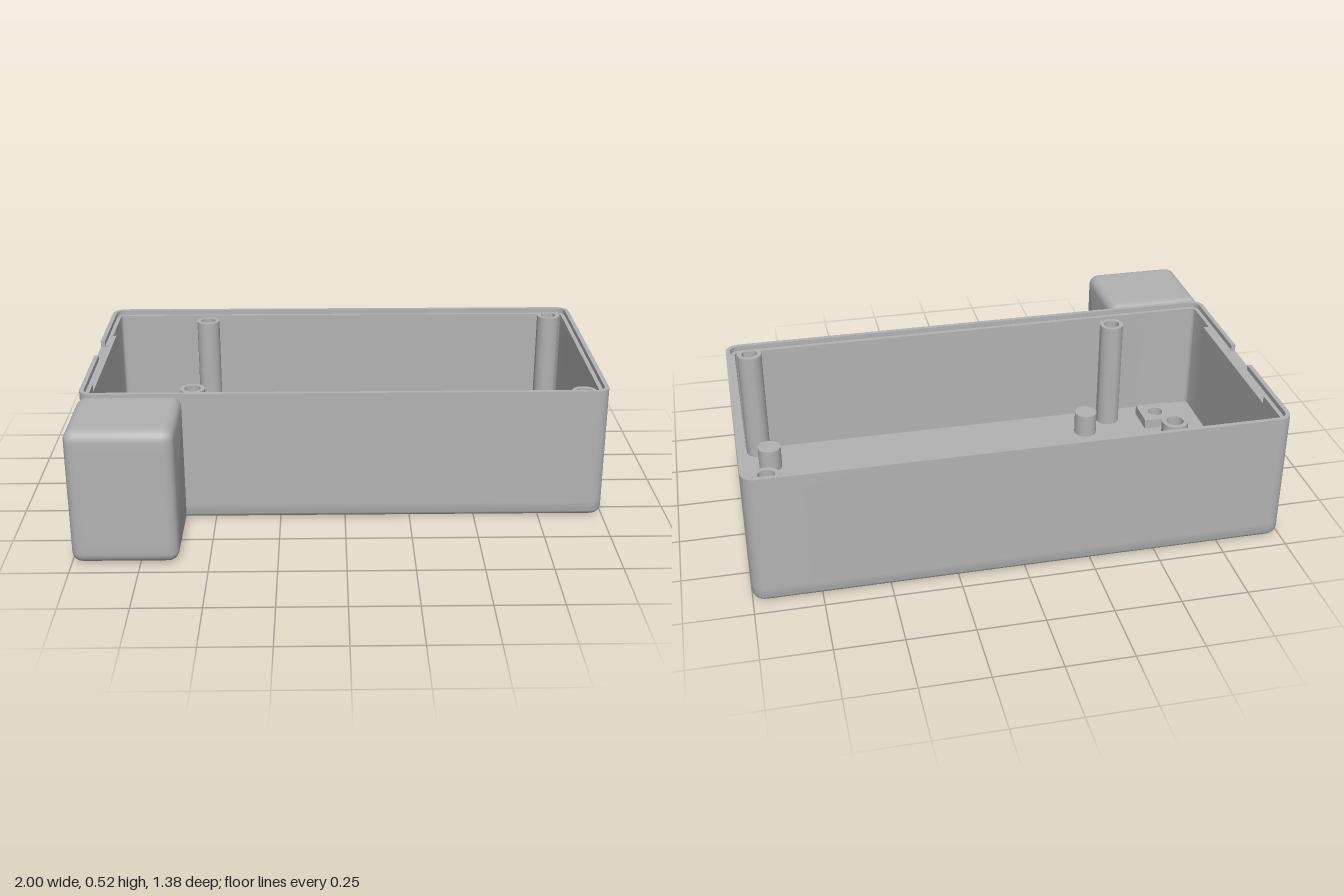
import * as THREE from 'three';
import { toCreasedNormals } from 'three/addons/utils/BufferGeometryUtils.js';

const FLOOR = 0.045, TOP = 0.52, LEDGE = 0.5, WALL = 0.033;
const CZ = -0.1825, HD = 0.5075; // tray centre and half depth in z
const WIN = { z0: -0.48, z1: 0.17, y0: 0.06, y1: 0.47 };
const NOTCH = { z0: -0.27, z1: -0.1 };

// Rounded rectangle as [u, v, tag] points; extra points may be put on the -u side
function roundRect(hw, hd, r, leftSide = []) {
  const pts = [];
  [[1, 1], [-1, 1], [-1, -1], [1, -1]].forEach(([su, sv], k) => {
    for (let i = 0; i <= 6; i++) {
      const a = (k + i / 6) * Math.PI / 2;
      pts.push([su * (hw - r) + r * Math.cos(a), sv * (hd - r) + r * Math.sin(a)]);
    }
    if (k === 1) leftSide.forEach(([v, tag]) => pts.push([-hw, v, tag]));
  });
  return pts;
}

// Skin closed rows of Vector3; skip(row, point) leaves a quad open
function loft(rows, skip = () => false) {
  const pos = [], n = rows[0].length, e1 = new THREE.Vector3(), e2 = new THREE.Vector3();
  const tri = (a, b, c) => {
    if (e1.subVectors(b, a).cross(e2.subVectors(c, a)).length() < 1e-8) return;
    for (const p of [a, b, c]) pos.push(p.x, p.y, p.z);
  };
  for (let j = 0; j < rows.length - 1; j++) {
    for (let i = 0; i < n; i++) {
      if (skip(j, i)) continue;
      const k = (i + 1) % n;
      tri(rows[j][i], rows[j + 1][i], rows[j][k]);
      tri(rows[j + 1][i], rows[j + 1][k], rows[j][k]);
    }
  }
  const g = new THREE.BufferGeometry();
  g.setAttribute('position', new THREE.Float32BufferAttribute(pos, 3));
  return toCreasedNormals(g, 0.6);
}

// Quarter-round steps as [inset, height] from the flat face to the side
const fillet = (r, steps = 5) => Array.from({ length: steps + 1 }, (_, i) => {
  const a = i / steps * Math.PI / 2;
  return [r - r * Math.sin(a), r - r * Math.cos(a)];
});

// Open tray: outside, stepped rim, inside and floor in one skin
function trayGeometry() {
  const left = [[WIN.z1], [NOTCH.z1], [NOTCH.z1, 'notch'], [NOTCH.z0, 'notch'], [NOTCH.z0], [WIN.z0]]
    .map(([z, tag]) => [z - CZ, tag]);
  const row = (inset, y) => roundRect(1 - inset, HD - inset, Math.max(0.05 - inset, 0.012), left)
    .map(([u, v, tag]) => new THREE.Vector3(u, tag ? Math.min(y, LEDGE - 0.005) : y, v + CZ));
  const centre = y => row(0, y).map(() => new THREE.Vector3(0, y, CZ));
  const profile = [...fillet(0.03), [0, WIN.y0], [0, WIN.y1], [0, TOP], [0.017, TOP],
    [0.017, LEDGE], [WALL, LEDGE], [WALL, WIN.y1], [WALL, WIN.y0], [WALL, FLOOR]];
  const rows = [centre(0), ...profile.map(([d, y]) => row(d, y)), centre(FLOOR)];
  const first = 14; // first extra point on the left side
  return loft(rows, (j, i) => (j === 7 || j === 12) && i >= first && i < first + 5);
}

// Hollow rounded housing with a round hole in its end, skinned along its length
function podGeometry() {
  const hw = 0.26, hd = 0.1825, len = 0.39, R = 0.04, t = 0.03;
  const outline = inset => {
    const p = roundRect(hw - inset, hd - inset, Math.max(R - inset, 0.012)), out = [];
    p.forEach((a, i) => {
      out.push(a);
      const b = p[(i + 1) % p.length];
      if (i % 7 === 6) for (let s = 1; s < 10; s++) {
        out.push([a[0] + (b[0] - a[0]) * s / 10, a[1] + (b[1] - a[1]) * s / 10]);
      }
    });
    return out;
  };
  const row = (inset, y) => outline(inset).map(([u, v]) => new THREE.Vector3(u, y, v));
  const circle = (r, y) => outline(0).map(([u, v]) => {
    const a = Math.atan2(v, u);
    return new THREE.Vector3(0.02 + r * Math.cos(a), y, 0.02 + r * Math.sin(a));
  });
  const f = fillet(R);
  return loft([
    circle(0, 0), ...f.map(([d, y]) => row(d, y)),
    ...f.slice().reverse().map(([d, y]) => row(d, len - y)),
    circle(0.13, len), circle(0.13, len - t),
    row(t, len - t), row(t, t), circle(0, t),
  ]);
}

export function createModel() {
  const model = new THREE.Group();
  const grey = new THREE.MeshStandardMaterial({ color: 0xb2b2b2, side: THREE.DoubleSide });
  grey.name = 'grey plastic';
  const add = (name, geometry, x = 0, y = 0, z = 0) => {
    const m = new THREE.Mesh(geometry, grey);
    m.name = name;
    m.position.set(x, y, z);
    model.add(m);
    return m;
  };

  add('tray', trayGeometry());

  // Edges of the window in the end wall: a box without its two x faces
  const reveal = new THREE.BoxGeometry(WALL, WIN.y1 - WIN.y0, WIN.z1 - WIN.z0);
  reveal.setIndex(Array.from(reveal.index.array).slice(12));
  reveal.clearGroups();
  add('windowReveal', reveal, -1 + WALL / 2, (WIN.y0 + WIN.y1) / 2, (WIN.z0 + WIN.z1) / 2);

  add('sideHousing', podGeometry(), -0.61, 0.26, 0.5075).rotation.z = Math.PI / 2;

  // Tall screw posts with bored tops
  const h = LEDGE + 0.001;
  const post = toCreasedNormals(new THREE.LatheGeometry(
    [[0.048, FLOOR - 0.01], [0.048, h], [0.031, h], [0.031, 0.25], [0, 0.25]]
      .map(p => new THREE.Vector2(...p)), 32), 0.6);
  for (const [x, z] of [[-0.58, -0.585], [-0.58, 0.22], [0.91, -0.635], [0.91, 0.27]]) {
    add('screwPost', post, x, 0, z);
  }

  // Short solid pegs
  const peg = new THREE.CylinderGeometry(0.046, 0.046, 0.105, 32);
  for (const x of [-0.46, 0.87]) {
    for (const z of [-0.505, 0.14]) add('supportPeg', peg, x, 0.0875, z);
  }

  // Square pads with a round hole
  const square = new THREE.Shape([[-1, -1], [1, -1], [1, 1], [-1, 1]]
    .map(([x, y]) => new THREE.Vector2(x * 0.065, y * 0.065)));
  square.holes.push(new THREE.Path().absarc(0, 0, 0.031, 0, Math.PI * 2, true));
  const pad = new THREE.ExtrudeGeometry(square, { depth: 0.045, bevelEnabled: false, curveSegments: 24 });
  pad.rotateX(-Math.PI / 2);
  for (const z of [-0.535, 0.17]) add('mountingPad', pad, -0.78, FLOOR - 0.005, z);

  return model;
}
